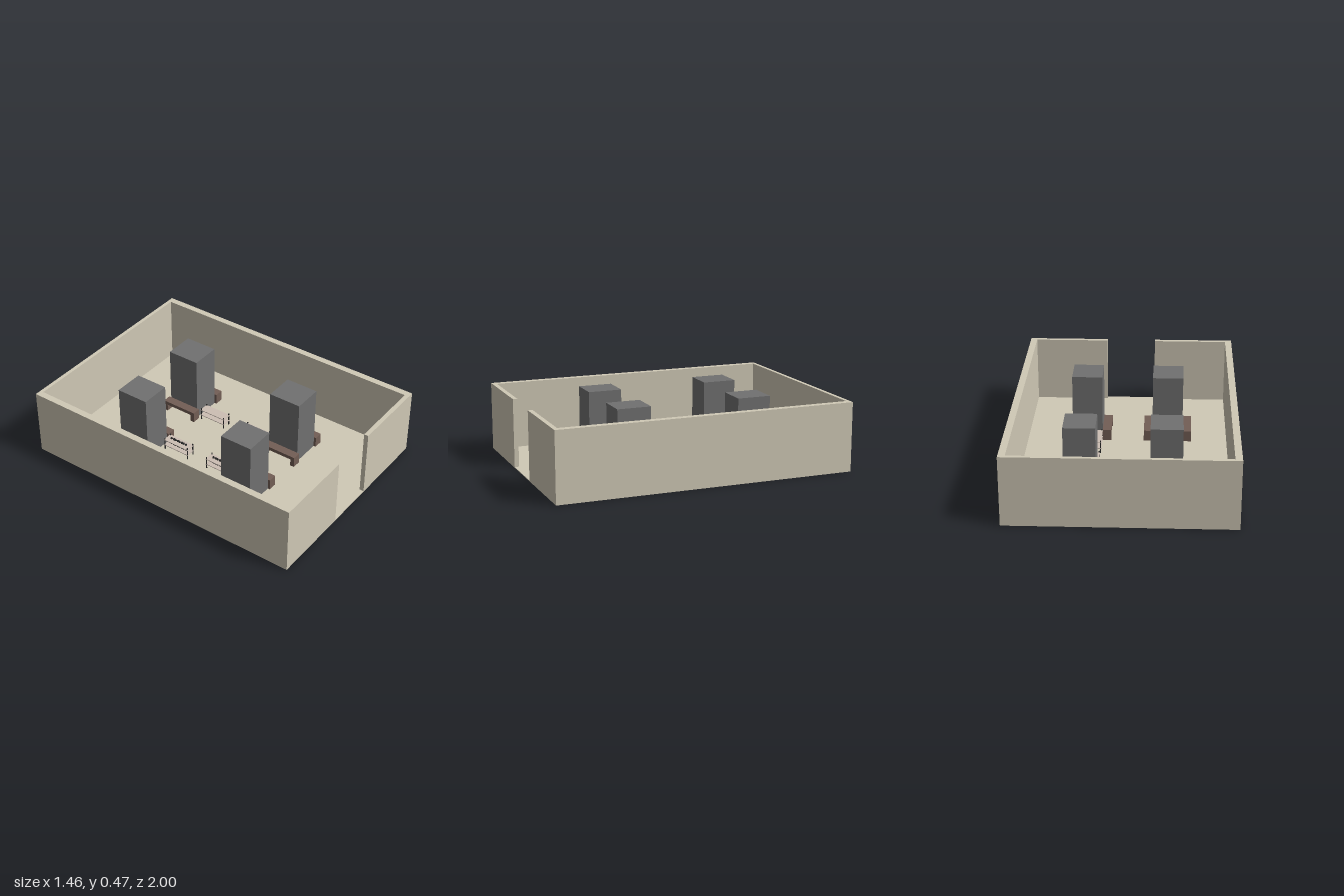
import * as THREE from 'three';

const mat = (color) => new THREE.MeshStandardMaterial({ color, flatShading: true });
const STONE = mat(0xd0c9b6), PILLAR = mat(0x707070), WOOD = mat(0x735e55);
const SHELF = mat(0xcdbfb4), DARK = mat(0x2b2b2b);

// Box given by its min and max corners
function box(parent, name, material, [x0, y0, z0], [x1, y1, z1]) {
  const mesh = new THREE.Mesh(new THREE.BoxGeometry(x1 - x0, y1 - y0, z1 - z0), material);
  mesh.position.set((x0 + x1) / 2, (y0 + y1) / 2, (z0 + z1) / 2);
  mesh.name = name;
  parent.add(mesh);
}

function cylinder(parent, name, material, r, h, x, y, z) {
  const mesh = new THREE.Mesh(new THREE.CylinderGeometry(r, r, h, 10), material);
  mesh.position.set(x, y, z);
  mesh.name = name;
  parent.add(mesh);
  return mesh;
}

function group(parent, name, x, y, z) {
  const g = new THREE.Group();
  g.name = name;
  g.position.set(x, y, z);
  parent.add(g);
  return g;
}

const W = 0.73, H = 0.462, FLOOR = 0.005;

// Open-topped room with a doorway in the front wall
function addRoom(root) {
  const room = group(root, 'room', 0, 0, 0);
  const sx = 0.685, zb = -0.975, zf = 0.97;
  const outline = [[-0.175, 1], [-W, 1], [-W, -1], [W, -1], [W, 1], [0.17, 1],
    [0.17, zf], [sx, zf], [sx, zb], [-sx, zb], [-sx, zf], [-0.175, zf]];
  const shape = new THREE.Shape(outline.map(([x, z]) => new THREE.Vector2(x, -z)));
  const geo = new THREE.ExtrudeGeometry(shape, { depth: H, bevelEnabled: false });
  geo.rotateX(-Math.PI / 2);
  const walls = new THREE.Mesh(geo, STONE);
  walls.name = 'walls';
  room.add(walls);
  box(room, 'floor', STONE, [-sx, 0, zb], [sx, FLOOR, zf]);
  box(room, 'threshold', STONE, [-0.175, 0, zf], [0.17, FLOOR, 1]);
}

// Bench: seat slab on two end panels
function addBench(parent, x) {
  const b = group(parent, 'bench', x, 0, 0);
  const w = 0.03, d = 0.13;
  box(b, 'benchSeat', WOOD, [-w, 0.05, -d], [w, 0.075, d]);
  for (const s of [-1, 1]) {
    const z = s * (d - 0.015);
    box(b, 'benchLeg', WOOD, [-w, 0, z - 0.015], [w, 0.05, z + 0.015]);
  }
}

// Two-tier rack, optionally stocked with small dumbbells
function addRack(root, x, z, stocked) {
  const r = group(root, 'rack', x, FLOOR, z);
  const w = 0.035, d = 0.1;
  for (const y of [0.032, 0.074]) {
    box(r, 'rackShelf', SHELF, [-w, y, -d], [w, y + 0.005, d]);
    if (!stocked) continue;
    for (let i = 0; i < 4; i++) {
      const dz = (i - 1.5) * 0.034, cy = y + 0.013;
      const weight = group(r, 'dumbbell', 0, cy, dz);
      cylinder(weight, 'dumbbellBar', DARK, 0.003, 0.026, 0, 0, 0).rotation.x = Math.PI / 2;
      for (const s of [-1, 1]) {
        cylinder(weight, 'dumbbellHead', DARK, 0.008, 0.007, 0, 0, s * 0.01).rotation.x = Math.PI / 2;
      }
    }
  }
  for (const sx of [-1, 1]) for (const sz of [-1, 1]) {
    cylinder(r, 'rackPost', DARK, 0.004, 0.09, sx * (w - 0.005), 0.045, sz * (d - 0.005));
  }
}

export function createModel() {
  const root = new THREE.Group();
  root.name = 'hall';
  addRoom(root);

  // Four pillars, each flanked by two benches
  for (const x of [-0.2775, 0.2725]) for (const z of [-0.469, 0.366]) {
    const bay = group(root, 'pillarBay', x, FLOOR, z);
    box(bay, 'pillar', PILLAR, [-0.103, 0, -0.114], [0.103, 0.461, 0.114]);
    for (const s of [-1, 1]) addBench(bay, s * 0.133);
  }

  // Four racks; those on the right carry weights
  for (const z of [-0.224, 0.126]) {
    addRack(root, -0.21, z, true);
    addRack(root, 0.203, z, false);
  }
  return root;
}
